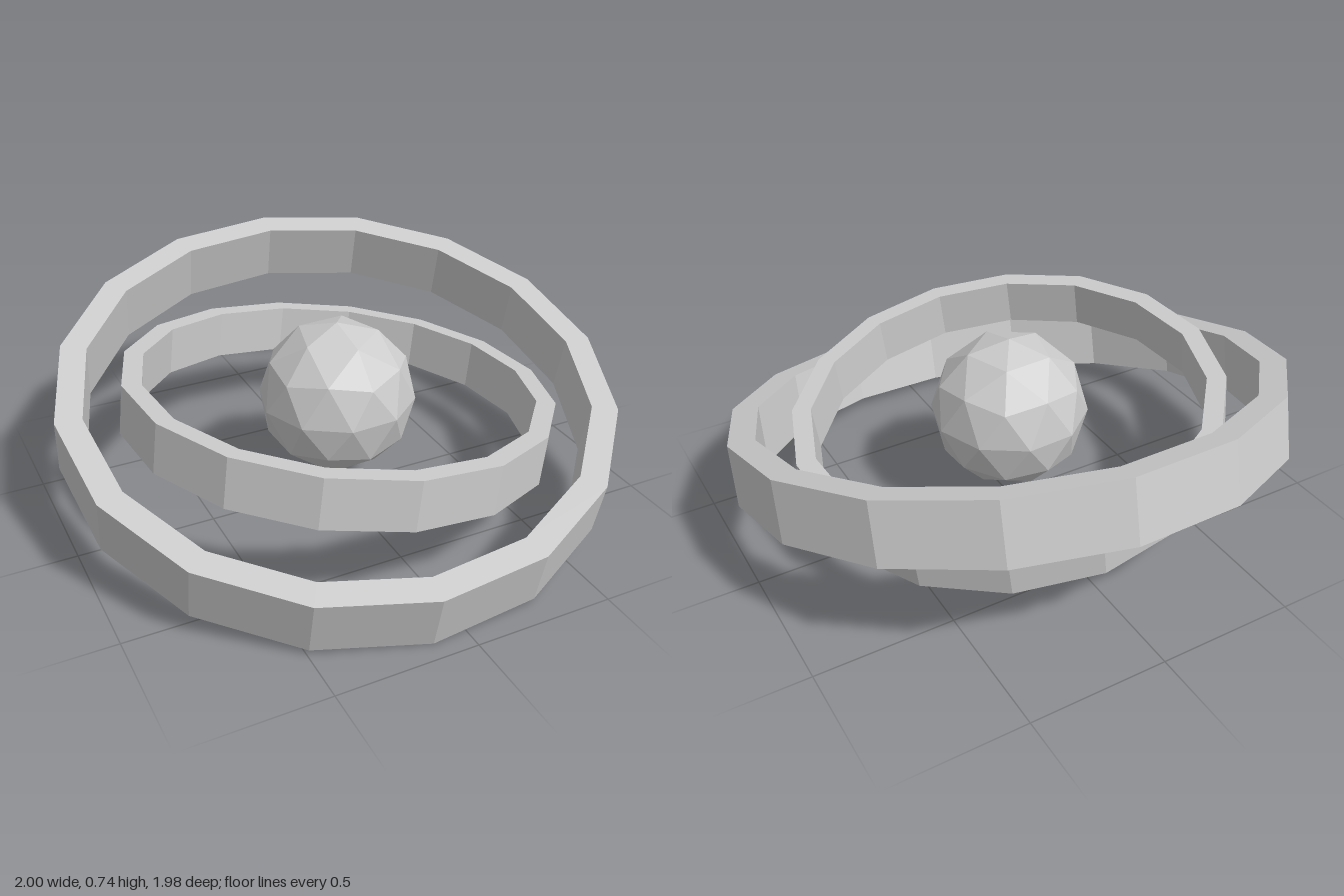
import * as THREE from 'three';

const material = new THREE.MeshStandardMaterial({ color: 0xcccccc, flatShading: true });
const rad = THREE.MathUtils.degToRad;

// Sixteen-sided band with a rectangular section, tilted and then spun about the vertical.
function makeRing(name, outer, inner, height, tilt, spin) {
  const h = height / 2;
  const section = [[inner, -h], [outer, -h], [outer, h], [inner, h], [inner, -h]]
    .map(([x, y]) => new THREE.Vector2(x, y));
  const ring = new THREE.Mesh(new THREE.LatheGeometry(section, 16), material);
  ring.name = name;
  ring.rotation.set(rad(tilt), rad(spin), 0, 'YXZ');
  ring.position.y = 0.373;
  return ring;
}

export function createModel() {
  const group = new THREE.Group();
  group.name = 'ringedSphere';

  group.add(makeRing('outerRing', 1.005, 0.91, 0.22, 15.3, -7.5));
  group.add(makeRing('innerRing', 0.785, 0.715, 0.18, 8, 105));

  // Faceted core with a corner pointing straight up
  const coreGeometry = new THREE.IcosahedronGeometry(0.285, 1);
  coreGeometry.rotateZ(Math.atan(2 / (1 + Math.sqrt(5))));
  const core = new THREE.Mesh(coreGeometry, material);
  core.name = 'core';
  core.rotation.y = rad(21);
  core.position.y = 0.4;
  group.add(core);

  return group;
}
